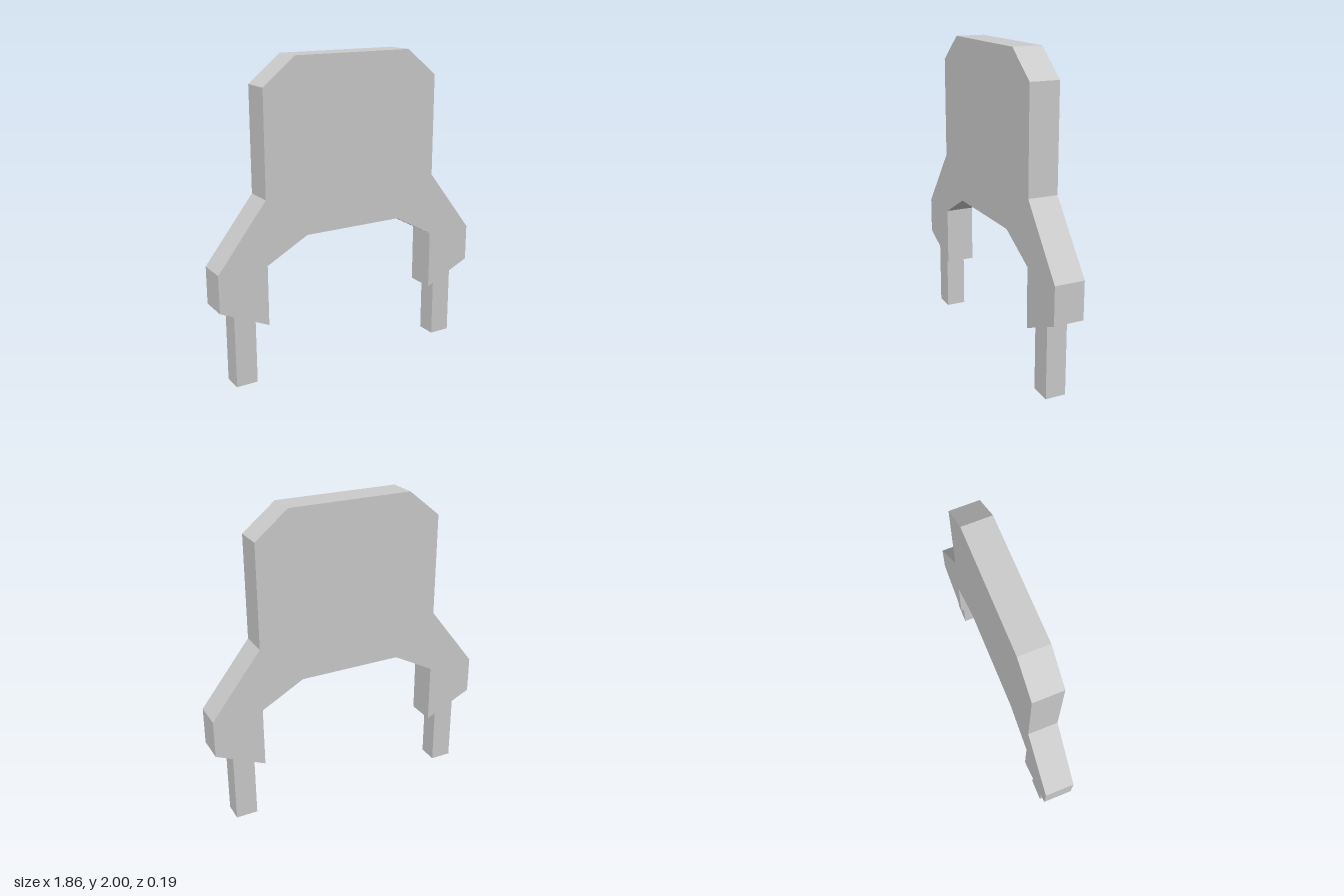
import * as THREE from 'three';

const DEPTH = 0.19;
// Height of the sloped underside of each shoulder at a given x
const undersideY = (x) => 0.375 + (Math.abs(x) - 0.61) * (0.145 / 0.32);

// Open square tube whose top is cut to meet the sloped underside
function makeLeg(name, x, material) {
  const geometry = new THREE.CylinderGeometry(Math.SQRT1_2, Math.SQRT1_2, 1, 4, 1, true);
  geometry.rotateY(Math.PI / 4);
  geometry.scale(0.14, 1, 0.13);
  geometry.translate(x, 0.5, 0.005);
  const p = geometry.attributes.position;
  for (let i = 0; i < p.count; i++) {
    if (p.getY(i) > 0.5) p.setY(i, undersideY(p.getX(i)));
  }
  geometry.computeVertexNormals();
  const leg = new THREE.Mesh(geometry, material);
  leg.name = name;
  return leg;
}

export function createModel() {
  const group = new THREE.Group();
  group.name = 'backrestPanel';
  const solid = new THREE.MeshStandardMaterial({ color: 0xcccccc, flatShading: true });
  const open = new THREE.MeshStandardMaterial({ color: 0xcccccc, flatShading: true, side: THREE.DoubleSide });

  // Panel with chamfered top, flared shoulders and arched underside
  const half = [
    [0.4, 2], [0.61, 1.83], [0.61, 1.17], [0.93, 0.76], [0.93, 0.52],
    [0.61, 0.375], [0.61, 0.76], [0.335, 0.91],
  ];
  const mirrored = half.map(([x, y]) => [-x, y]).reverse();
  const outline = new THREE.Shape([...half, ...mirrored].map(([x, y]) => new THREE.Vector2(x, y)));
  const geometry = new THREE.ExtrudeGeometry(outline, { depth: DEPTH, bevelEnabled: false });
  geometry.translate(0, 0, -DEPTH / 2);
  const panel = new THREE.Mesh(geometry, solid);
  panel.name = 'panel';
  group.add(panel);

  // Two short legs, open at the bottom
  group.add(makeLeg('leftLeg', 0.74, open), makeLeg('rightLeg', -0.76, open));
  return group;
}
